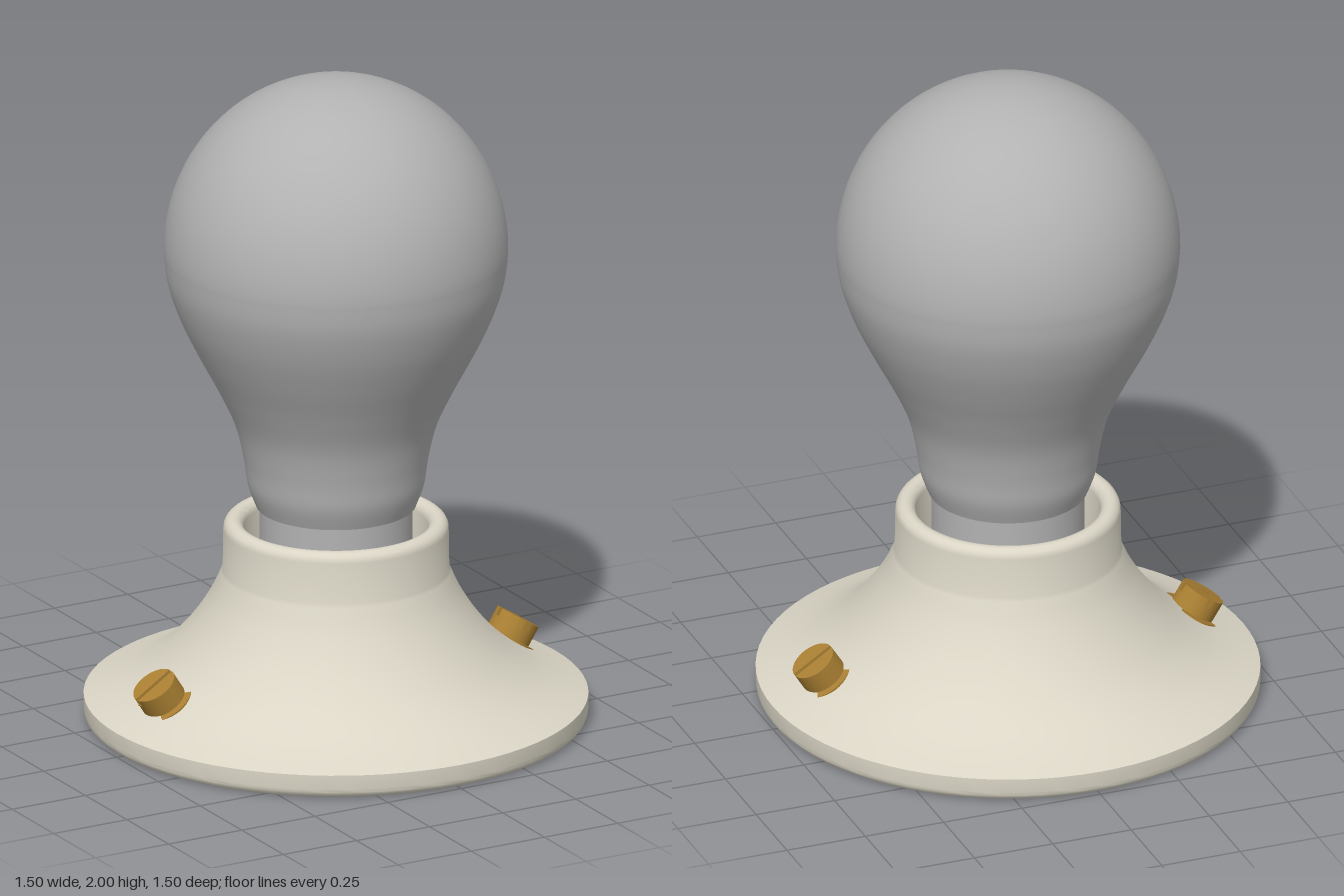
import * as THREE from 'three';
import { toCreasedNormals } from 'three/addons/utils/BufferGeometryUtils.js';

const SEGMENTS = 80;

// Smooth curve through [radius, height] pairs
function spline(points, divisions) {
  const curve = new THREE.SplineCurve(points.map(([r, y]) => new THREE.Vector2(r, y)));
  return curve.getPoints(divisions);
}

// Quarter-round corner
function corner(cx, cy, radius, from, to) {
  return Array.from({ length: 6 }, (_, i) => {
    const a = THREE.MathUtils.degToRad(from + (to - from) * i / 5);
    return new THREE.Vector2(cx + radius * Math.cos(a), cy + radius * Math.sin(a));
  });
}

function turned(profile, material, name) {
  const geometry = toCreasedNormals(new THREE.LatheGeometry(profile, SEGMENTS), 0.45);
  const mesh = new THREE.Mesh(geometry, material);
  mesh.name = name;
  return mesh;
}

// Slotted screw, standing on its washer along +y with the slot along x
function createScrew(material) {
  const screw = new THREE.Group();
  const add = (geometry, y, name) => {
    const mesh = new THREE.Mesh(geometry, material);
    mesh.position.y = y;
    mesh.name = name;
    screw.add(mesh);
    return mesh;
  };
  const headRadius = 0.069, slotHalf = 0.007, slotDepth = 0.025, top = 0.065;
  add(new THREE.CylinderGeometry(0.092, 0.092, 0.02, 40), -0.01, 'screwWasher');
  add(new THREE.CylinderGeometry(headRadius, headRadius, top - slotDepth, 40), (top - slotDepth) / 2, 'screwHead');
  // Two raised halves either side of the slot
  const edge = Math.asin(slotHalf / headRadius);
  const half = new THREE.Shape();
  half.absarc(0, 0, headRadius, edge, Math.PI - edge, false);
  half.closePath();
  const geometry = new THREE.ExtrudeGeometry(half, { depth: slotDepth, bevelEnabled: false, curveSegments: 24 });
  geometry.rotateX(-Math.PI / 2);
  for (const turn of [0, Math.PI]) {
    add(toCreasedNormals(geometry, 0.5), top - slotDepth, 'screwHeadHalf').rotation.y = turn;
  }
  return screw;
}

export function createModel() {
  const model = new THREE.Group();
  model.name = 'lampHolderWithBulb';
  const porcelain = new THREE.MeshStandardMaterial({ name: 'porcelain', color: 0xdad5c5 });
  const glass = new THREE.MeshStandardMaterial({ name: 'greyGlass', color: 0xb2b2b2 });
  const brass = new THREE.MeshStandardMaterial({ name: 'brass', color: 0xaa8033 });

  // Flared base with a hollow socket collar
  const base = [
    new THREE.Vector2(0, 0),
    ...corner(0.72, 0.03, 0.03, -90, 0),
    ...spline([[0.75, 0.075], [0.665, 0.108], [0.588, 0.148], [0.51, 0.208], [0.435, 0.292], [0.375, 0.385], [0.337, 0.47]], 30),
    ...corner(0.305, 0.595, 0.03, 0, 90),
    ...corner(0.305, 0.595, 0.03, 90, 180),
    new THREE.Vector2(0.275, 0.4),
    new THREE.Vector2(0, 0.4),
  ];
  model.add(turned(base, porcelain, 'socketBase'));

  // Pear-shaped bulb: curved neck running into a round crown
  const crown = Array.from({ length: 25 }, (_, i) => {
    const a = (i / 24) * Math.PI / 2;
    return new THREE.Vector2(Math.max(0, 0.512 * Math.cos(a)), 1.47 + 0.53 * Math.sin(a));
  });
  const bulb = [
    new THREE.Vector2(0.2, 0.665),
    ...spline([[0.238, 0.668], [0.262, 0.735], [0.275, 0.82], [0.302, 0.93], [0.355, 1.045], [0.413, 1.155], [0.465, 1.265], [0.501, 1.375], [0.512, 1.47]], 40),
    ...crown.slice(1),
  ];
  model.add(turned(bulb, glass, 'bulb'));

  // Narrow bulb cap seated in the socket
  const cap = [[0, 0.42], [0.2, 0.42], [0.228, 0.45], [0.228, 0.67]].map(([r, y]) => new THREE.Vector2(r, y));
  model.add(turned(cap, glass, 'bulbCap'));

  // Mounting screws leaning outward on each side
  for (const side of [1, -1]) {
    const screw = createScrew(brass);
    screw.name = side > 0 ? 'leftScrew' : 'rightScrew';
    screw.position.set(side * 0.588, 0.15, 0);
    screw.rotation.z = -side * 0.57;
    model.add(screw);
  }
  return model;
}
